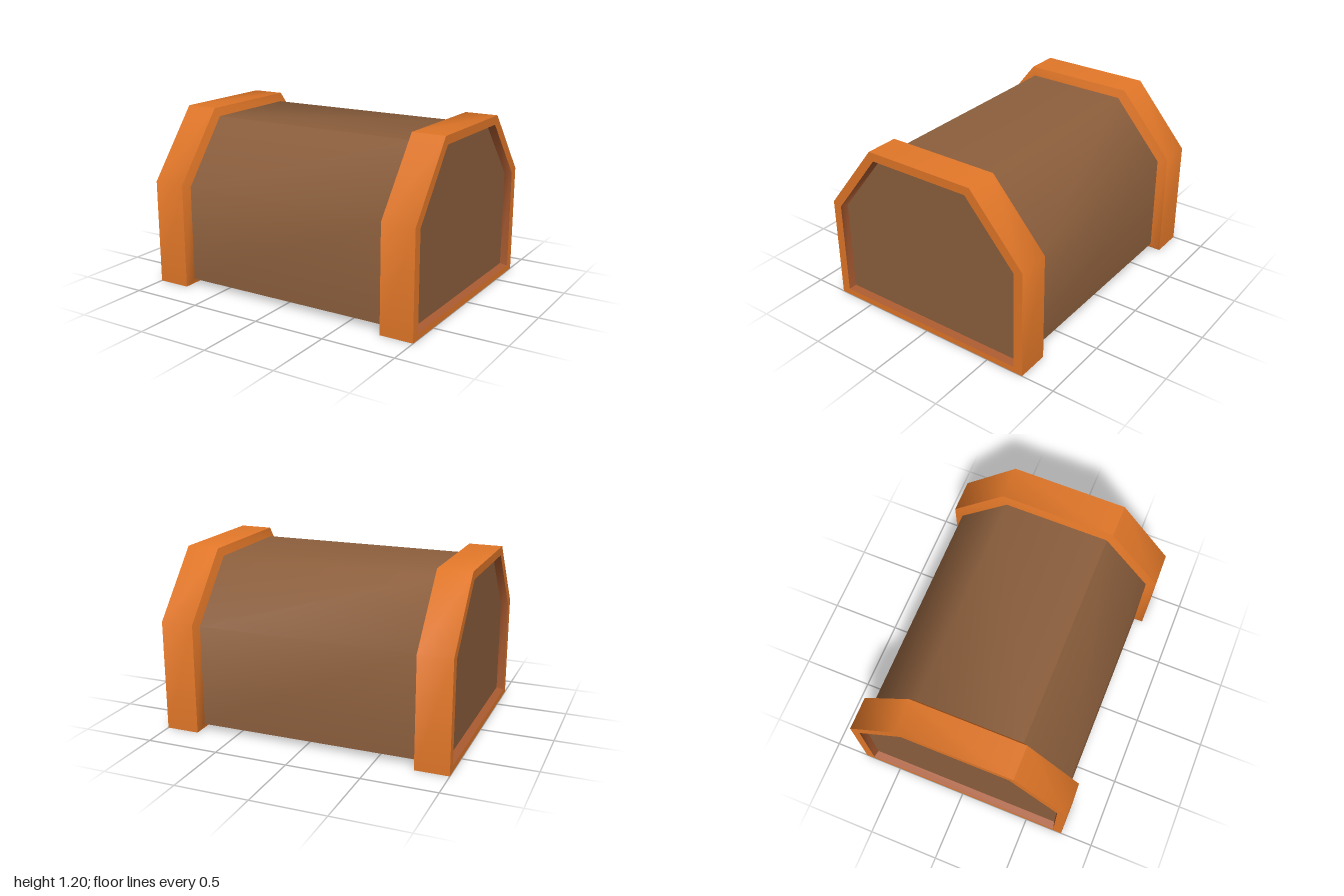
import * as THREE from 'three';
import { toCreasedNormals } from 'three/addons/utils/BufferGeometryUtils.js';

// Six-sided arch profiles as [z, y], from the front foot over the roof to the back foot
const OUTER = [[0.77, 0], [0.77, 0.725], [0.4, 1.2], [-0.39, 1.2], [-0.77, 0.76], [-0.77, 0]];
const INNER = [[0.707, 0.042], [0.707, 0.705], [0.37, 1.142], [-0.354, 1.142], [-0.705, 0.738], [-0.705, 0.042]];
const RECESS = [[0.695, 0.055], [0.695, 0.7], [0.364, 1.127], [-0.347, 1.127], [-0.693, 0.733], [-0.693, 0.055]];
const CREASE = THREE.MathUtils.degToRad(50.7);

// Skin between successive stations [x, profile]; gentle corners are shaded smooth
function loft(stations) {
  const pos = [];
  for (let s = 0; s < stations.length - 1; s++) {
    const [xa, a] = stations[s];
    const [xb, b] = stations[s + 1];
    for (let i = 0; i < a.length; i++) {
      const j = (i + 1) % a.length;
      const a0 = [xa, a[i][1], a[i][0]], a1 = [xa, a[j][1], a[j][0]];
      const b0 = [xb, b[i][1], b[i][0]], b1 = [xb, b[j][1], b[j][0]];
      pos.push(...a0, ...b0, ...b1, ...a0, ...b1, ...a1);
    }
  }
  const geo = new THREE.BufferGeometry();
  geo.setAttribute('position', new THREE.Float32BufferAttribute(pos, 3));
  return toCreasedNormals(geo, CREASE);
}

// Same stations on the other side (reversed so faces still point outward)
const mirrored = (stations) => stations.map(([x, p]) => [-x, p]).reverse();

// Flat panel filling a profile, facing along side * x
function panel(profile, x, side) {
  const shape = new THREE.Shape(profile.map(([z, y]) => new THREE.Vector2(-side * z, y)));
  return new THREE.ShapeGeometry(shape).rotateY(side * Math.PI / 2).translate(side * x, 0, 0);
}

export function createModel() {
  const model = new THREE.Group();
  model.name = 'archedBarrel';

  const material = (name, color) => {
    const m = new THREE.MeshStandardMaterial({ color });
    m.name = name;
    return m;
  };
  const brown = material('brown', 0x8b5e3c);
  const orange = material('orange', 0xe07628);
  const sienna = material('sienna', 0xa85a30);

  const add = (parent, name, geometry, mat) => {
    const mesh = new THREE.Mesh(geometry, mat);
    mesh.name = name;
    parent.add(mesh);
  };

  // Long middle section
  add(model, 'body', loft([[-0.75, INNER], [0.75, INNER]]), brown);

  // Collar at each end: bevelled shoulder, outer band, end rim, recessed lip and panel
  const collar = [[0.75, INNER], [0.77, OUTER], [1, OUTER], [1, INNER]];
  const lip = [[1, INNER], [0.95, RECESS]];
  for (const side of [1, -1]) {
    const end = new THREE.Group();
    end.name = side > 0 ? 'leftEnd' : 'rightEnd';
    const orient = (st) => (side > 0 ? st : mirrored(st));
    add(end, 'collar', loft(orient(collar)), orange);
    add(end, 'lip', loft(orient(lip)), sienna);
    add(end, 'endPanel', panel(RECESS, 0.95, side), brown);
    model.add(end);
  }
  return model;
}
